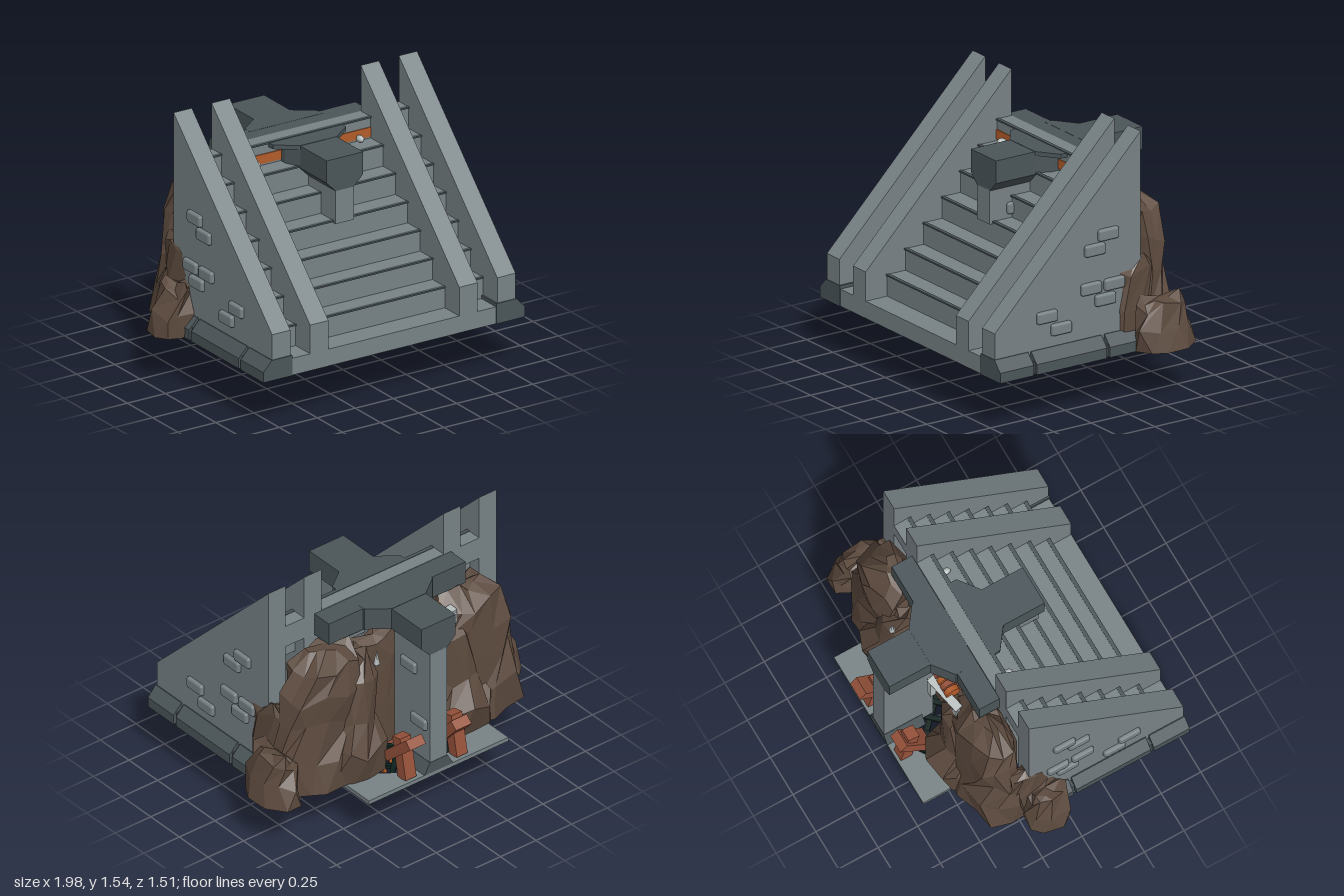
import * as THREE from 'three';
import { RoundedBoxGeometry } from 'three/addons/geometries/RoundedBoxGeometry.js';

const mat = (name, color) => Object.assign(new THREE.MeshStandardMaterial({ color }), { name });

export function createModel() {
  const root = new THREE.Group();
  root.name = 'stairwayOverGrate';
  const stone = mat('stone', 0x788286), dark = mat('darkStone', 0x4b5559), earth = mat('rock', 0x5c4a3e);
  const orange = mat('orange', 0xb45c2a), wood = mat('redWood', 0x96523b), iron = mat('blackIron', 0x0c201c);
  const silver = mat('silver', 0xb4babb);

  let seed = 11;
  const rnd = () => (seed = (seed * 16807) % 2147483647) / 2147483647;

  const add = (name, geo, m, parent = root) => {
    const mesh = new THREE.Mesh(geo, m);
    mesh.name = name;
    parent.add(mesh);
    return mesh;
  };
  // Box given by its limits on each axis
  const box = (name, m, x0, x1, y0, y1, z0, z1, parent) =>
    add(name, new THREE.BoxGeometry(x1 - x0, y1 - y0, z1 - z0)
      .translate((x0 + x1) / 2, (y0 + y1) / 2, (z0 + z1) / 2), m, parent);
  const outline = pts => new THREE.Shape(pts.map(p => new THREE.Vector2(...p)));
  const extrude = (shape, depth) => new THREE.ExtrudeGeometry(shape, { depth, bevelEnabled: false, curveSegments: 24 });
  // Profile in x/y pulled along z
  const alongZ = (name, m, pts, z0, z1) => add(name, extrude(outline(pts), z1 - z0).translate(0, 0, z0), m);
  // Profile in z/y pulled along x
  const alongX = (name, m, pts, x0, x1) =>
    add(name, extrude(outline(pts), x1 - x0).rotateY(-Math.PI / 2).translate(x1, 0, 0), m);
  // Shape in x/z pulled down from a top height
  const downY = (name, m, shape, yTop, h) =>
    add(name, extrude(shape, h).rotateX(Math.PI / 2).translate(0, yTop, 0), m);
  // Square beam between two points
  const beam = (name, m, a, b, w, d = w) => {
    const A = new THREE.Vector3(...a), B = new THREE.Vector3(...b);
    const mesh = add(name, new THREE.BoxGeometry(w, A.distanceTo(B), d), m);
    mesh.position.copy(A).add(B).multiplyScalar(0.5);
    mesh.quaternion.setFromUnitVectors(new THREE.Vector3(0, 1, 0), B.clone().sub(A).normalize());
  };

  // Stairs with dark nosings; the top step forms the stair head
  box('frontLip', stone, -0.68, 0.68, 0.3, 0.4, 0.59, 0.755);
  for (let k = 1; k <= 7; k++) {
    const y = 0.4 + 0.1257 * k, z = 0.612 - 0.1225 * (k - 1);
    box('step', stone, -0.68, 0.68, y - 0.135, y, k === 7 ? -0.22 : z - 0.14, z);
    box('stepNosing', dark, -0.68, 0.68, y - 0.006, y + 0.003, z - 0.014, z + 0.008);
  }

  // Side walls, plinths and raised bricks
  const wall = [[0.755, 0.3], [0.755, 0.57], [-0.22, 1.55], [-0.22, 0.3]];
  const bricks = [[0, 1], [0.09, 0.925], [0.115, 0.705], [-0.04, 0.705], [0.02, 0.625], [0.41, 0.6], [0.315, 0.515]];
  const brick = (x, y, z) =>
    add('raisedBrick', new RoundedBoxGeometry(0.05, 0.07, 0.135, 1, 0.015).translate(x, y, z), stone);
  for (const s of [-1, 1]) {
    for (const [a, b] of [[0.43, 0.55], [0.68, 0.8]])
      alongX('slopedWall', stone, wall, Math.min(s * a, s * b), Math.max(s * a, s * b));
    for (const [z, y] of bricks) brick(s * 0.798, y, z);
    const plinth = [[0.67, 0.3], [0.86, 0.3], [0.86, 0.36], [0.805, 0.42], [0.67, 0.42]].map(p => [s * p[0], p[1]]);
    for (const [z0, z1] of [[0.535, 0.76], [0.045, 0.515], [-0.22, 0.025]])
      alongZ('plinth', dark, plinth, z0, z1);
    box('plinthCore', dark, s * 0.755 - 0.085, s * 0.755 + 0.085, 0.3, 0.37, -0.22, 0.75);
    // Coloured panel and small lamp on the stair head
    box('orangePanel', orange, s * 0.295 - 0.135, s * 0.295 + 0.135, 1.165, 1.22, -0.125, -0.117);
    add('lamp', new THREE.SphereGeometry(0.02, 10, 6).scale(1, 1, 1.5).translate(s * 0.34, 1.18, -0.09), silver);
  }

  // Crossing beams with tapered heads on slab posts
  const head = [[-0.12, 1.277], [0.12, 1.277], [0.12, 1.145], [0.06, 1.085], [-0.06, 1.085], [-0.12, 1.145]];
  const mid = -0.22;
  alongZ('mainBeam', dark, head, mid - 0.49, mid + 0.49);
  for (const d of [1, -1]) {
    const z = v => mid + d * v;
    const flare = w => outline([[-0.12, z(0.23)], [0.12, z(0.23)], [w, z(0.14)], [w, z(0.09)], [-w, z(0.09)], [-w, z(0.14)]]);
    if (d > 0) {
      downY('beamFlareLip', dark, flare(0.24), 1.279, 0.025);
      downY('beamFlare', dark, flare(0.16), 1.278, 0.132);
    } else downY('beamFlare', dark, flare(0.24), 1.279, 0.134);
    const ends = [z(0.18), z(0.49)].sort((a, b) => a - b);
    box('slabPost', stone, -0.06, 0.06, d > 0 ? 0.89 : 0.3, 1.09, ...ends);
  }
  brick(0.055, 0.96, 0.09);
  brick(0.055, 0.93, -0.53);
  brick(0.055, 0.6, -0.62);
  box('crossBeam', dark, -0.48, 0.48, 1.14, 1.278, -0.35, -0.222);
  alongZ('postFoot', dark, [[-0.1, 0.3], [0.1, 0.3], [0.062, 0.37], [-0.062, 0.37]], -0.712, -0.47);

  // Faceted boulders: rings of [y, centreX, centreZ, radiusX, radiusZ]
  const boulder = (name, rings, n = 10) => {
    const loops = rings.map(([y, cx, cz, rx, rz], i) => Array.from({ length: n }, (_, j) => {
      const a = (j + 0.5 * (i % 2) + 0.5 * rnd()) / n * Math.PI * 2, r = 0.84 + 0.28 * rnd();
      const lift = i ? (rnd() - 0.5) * 0.08 : 0;
      return [cx + Math.cos(a) * rx * r, y + lift, cz + Math.sin(a) * rz * r];
    }));
    const pos = [], tri = (...p) => p.forEach(q => pos.push(...q));
    const centre = r => [r[1], r[0], r[2]];
    const last = loops.length - 1, low = centre(rings[0]), top = centre(rings[last]);
    for (let j = 0; j < n; j++) {
      const k = (j + 1) % n;
      for (let i = 0; i < last; i++) {
        const a = loops[i][j], b = loops[i][k], c = loops[i + 1][k], d = loops[i + 1][j];
        tri(a, d, b);
        tri(b, d, c);
      }
      tri(low, loops[0][j], loops[0][k]);
      tri(top, loops[last][k], loops[last][j]);
    }
    const g = new THREE.BufferGeometry();
    g.setAttribute('position', new THREE.Float32BufferAttribute(pos, 3));
    g.computeVertexNormals();
    add(name, g, earth);
  };
  for (const s of [-1, 1]) {
    boulder('mainBoulder', [[0.3, s * 0.56, -0.34, 0.29, 0.18], [0.5, s * 0.56, -0.34, 0.28, 0.16],
      [0.7, s * 0.53, -0.33, 0.28, 0.14], [0.88, s * 0.52, -0.34, 0.27, 0.15],
      [1.03, s * 0.5, -0.33, 0.22, 0.14], [1.12, s * 0.46, -0.3, 0.13, 0.07]], 12);
    boulder('innerBoulder', [[0.3, s * 0.37, -0.42, 0.2, 0.14], [0.48, s * 0.36, -0.44, 0.18, 0.15],
      [0.62, s * 0.34, -0.4, 0.14, 0.11], [0.9, s * 0.31, -0.37, 0.13, 0.11], [1.03, s * 0.3, -0.34, 0.08, 0.07]]);
    const nz = s > 0 ? -0.32 : -0.14, rz = s > 0 ? 0.2 : 0.14;
    boulder('outerBoulder', [[0.3, s * 0.87, nz, 0.125, rz], [0.42, s * 0.86, nz, 0.11, rz * 0.95],
      [0.54, s * 0.84, nz, 0.08, rz * 0.85], [0.58, s * 0.83, nz, 0.05, rz * 0.65]], 9);
    boulder('wallBoulder', [[0.3, s * 0.77, -0.19, 0.055, 0.15], [0.55, s * 0.77, -0.19, 0.055, 0.15],
      [0.76, s * 0.765, -0.19, 0.05, 0.14], [0.8, s * 0.76, -0.22, 0.04, 0.1]], 9);
  }
  boulder('caveBack', [[0.31, 0.06, -0.28, 0.24, 0.06], [0.6, 0.06, -0.28, 0.24, 0.07],
    [0.85, 0.08, -0.28, 0.22, 0.06], [1.02, 0.12, -0.28, 0.16, 0.05]]);

  // Splintered timber beside the rear post
  for (const [x, tip] of [[0.18, 0.59], [-0.18, 0.54]]) {
    beam('leaningTimber', wood, [x, tip - 0.2, -0.53], [x, tip - 0.02, -0.735 + (x < 0 ? 0.05 : 0)], 0.11, 0.06);
    beam('uprightTimber', wood, [x, 0.3, -0.66], [x, 0.55, -0.61], 0.075, 0.07);
  }

  // Rope winch in the cave mouth
  beam('winchBar', silver, [-0.35, 1.04, -0.4], [-0.12, 1.06, -0.45], 0.05);
  beam('winchLeg', silver, [-0.34, 0.8, -0.41], [-0.34, 1.04, -0.41], 0.035);
  beam('winchLeg', silver, [-0.13, 0.85, -0.45], [-0.13, 1.06, -0.45], 0.035);
  for (let i = 0; i < 4; i++)
    add('ropeCoil', new THREE.CylinderGeometry(0.045, 0.045, 0.032, 10).rotateZ(Math.PI / 2)
      .translate(-0.25 + i * 0.04, 1.08, -0.39), i % 2 ? wood : orange);
  add('smallCrystal', new THREE.ConeGeometry(0.02, 0.09, 5).translate(0.25, 1.03, -0.48), silver);

  // Floor plate with a round hole, and its raised border below
  const plate = outline([[-0.49, -0.71], [0.49, -0.71], [0.49, 0.27], [-0.49, 0.27]]);
  plate.holes.push(new THREE.Path().absarc(0, mid, 0.42, 0, Math.PI * 2, true));
  downY('floorPlate', stone, plate, 0.3, 0.012);
  for (const s of [-1, 1]) {
    box('floorBorderSide', stone, s * 0.475 - 0.015, s * 0.475 + 0.015, 0.275, 0.29, -0.71, 0.27);
    box('floorBorderEnd', stone, -0.46, 0.46, 0.275, 0.29, mid + s * 0.475 - 0.015, mid + s * 0.475 + 0.015);
  }

  // Round diagonal lattice grate
  const grate = new THREE.Group();
  grate.name = 'grate';
  grate.position.z = mid;
  grate.rotation.y = Math.PI / 4;
  root.add(grate);
  for (let i = -4; i <= 4; i++) {
    const o = i * 0.095, h = Math.sqrt(0.43 ** 2 - o ** 2);
    box('grateBar', iron, o - 0.015, o + 0.015, 0.25, 0.268, -h, h, grate);
    box('grateBar', iron, -h, h, 0.258, 0.276, o - 0.015, o + 0.015, grate);
  }

  // Hanging bundle: shield, hoops, pale leaves and sticks
  alongZ('hangingShield', wood, [[-0.1, 0.26], [0.1, 0.26], [0.07, 0.19], [0, 0.14], [-0.07, 0.19]], -0.225, -0.205);
  for (const s of [-1, 1]) {
    const curve = new THREE.CatmullRomCurve3([[0.13, 0.26, -0.2], [0.1, 0.17, -0.185], [0.03, 0.12, -0.19], [-0.03, 0.11, -0.2]]
      .map(p => new THREE.Vector3(s * p[0], p[1], p[2])));
    add('metalHoop', new THREE.TubeGeometry(curve, 12, 0.014, 6), dark);
    beam('shieldStrap', dark, [s * 0.02, 0.13, -0.2], [s * 0.07, 0.26, -0.2], 0.016);
    alongZ('paleLeaf', silver, [[0.06, 0.16], [0.13, 0.21], [0.17, 0.125], [0.1, 0.115]].map(p => [s * p[0], p[1]]), -0.23, -0.205);
  }
  for (let i = -2; i <= 2; i++)
    beam('hangingStick', i === -1 ? silver : orange, [i * 0.018, 0.14, -0.215],
      [i * 0.027, 0.01 + 0.022 * Math.abs(i), -0.215 + (i % 2 ? 0.02 : -0.025)], 0.02);
  add('ropeRing', new THREE.TorusGeometry(0.025, 0.009, 6, 12).rotateY(Math.PI / 2).translate(0, 0.14, -0.235), orange);
  return root;
}
